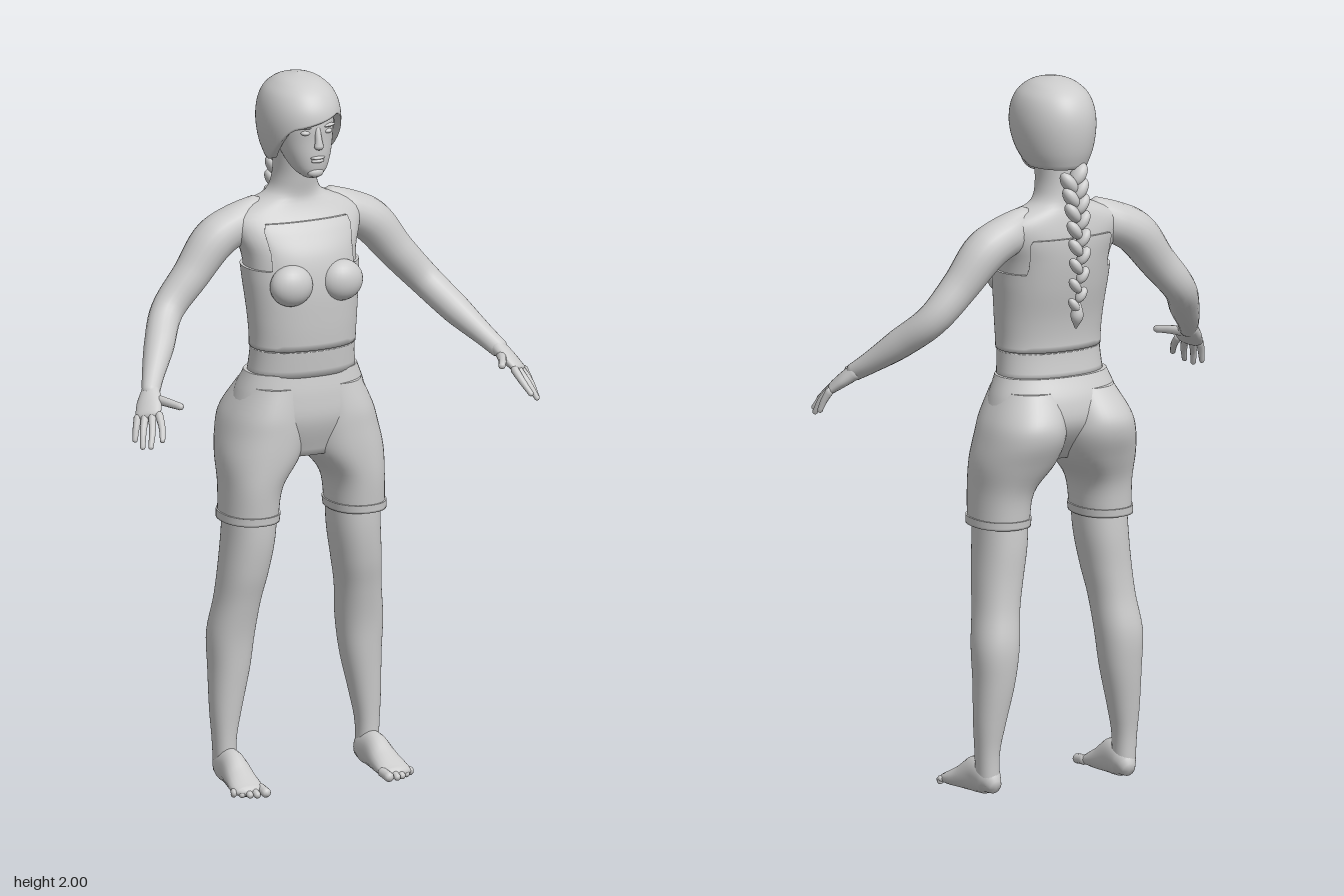
import * as THREE from 'three';
import { mergeVertices } from 'three/addons/utils/BufferGeometryUtils.js';

const clay = new THREE.MeshStandardMaterial({ color: 0xcccccc, side: THREE.DoubleSide });
clay.name = 'light grey';

const smooth = THREE.MathUtils.smoothstep;
const lerp = THREE.MathUtils.lerp;

// Smooth surface through a list of point rings
function skin(rings) {
  const pos = [], idx = [], n = rings[0].length;
  rings.forEach(r => r.forEach(p => pos.push(p.x, p.y, p.z)));
  for (let i = 0; i < rings.length - 1; i++)
    for (let j = 0; j < n - 1; j++) {
      const a = i * n + j, b = a + n;
      idx.push(a, a + 1, b + 1, a, b + 1, b);
    }
  let g = new THREE.BufferGeometry();
  g.setAttribute('position', new THREE.Float32BufferAttribute(pos, 3));
  g.setIndex(idx);
  g = mergeVertices(g, 1e-5);
  g.computeVertexNormals();
  return g;
}

function mesh(name, geo, parent) {
  const m = new THREE.Mesh(geo, clay);
  m.name = name;
  parent.add(m);
  return m;
}

// Cross-section at height y, from rows of [y, centreX, halfWidth, zFront, zBack]
function section(rows, y) {
  let i = 0;
  while (i < rows.length - 2 && y > rows[i + 1][0]) i++;
  const a = rows[i], b = rows[i + 1], h = b[0] - a[0];
  const t = THREE.MathUtils.clamp((y - a[0]) / h, 0, 1);
  const slope = (k, c) => {
    const p = rows[Math.max(k - 1, 0)], q = rows[Math.min(k + 1, rows.length - 1)];
    return (q[c] - p[c]) / (q[0] - p[0]) * h;
  };
  return [1, 2, 3, 4].map(c => {
    const m0 = slope(i, c), m1 = slope(i + 1, c), d = b[c] - a[c];
    return a[c] + t * m0 + t * t * (3 * d - 2 * m0 - m1) + t * t * t * (m0 + m1 - 2 * d);
  });
}

// Upright loft; lo and hi may vary with the angle (0 = front), the rims turn inward
function shell(rows, { lo, hi, d = 0, inset = 0.015, nu = 48, nv = 32, power = 0.9, side = 1 }) {
  const fn = f => (typeof f === 'function' ? f : () => f);
  const L = fn(lo ?? rows[0][0]), H = fn(hi ?? rows[rows.length - 1][0]), rings = [];
  const bend = s => Math.sign(s) * Math.abs(s) ** power;
  for (let i = -1; i <= nv + 1; i++) {
    const v = Math.sin(THREE.MathUtils.clamp(i / nv, 0, 1) * Math.PI / 2);
    const off = i < 0 || i > nv ? -inset : d;
    const ring = [];
    for (let j = 0; j <= nu; j++) {
      const a = -Math.PI + (j % nu) / nu * Math.PI * 2;
      const y = lerp(L(a), H(a), v);
      const [cx, w, zf, zb] = section(rows, y);
      ring.push(new THREE.Vector3(
        cx * side + Math.max(w + off, 0) * bend(Math.sin(a)), y,
        (zf + zb) / 2 + Math.max((zf - zb) / 2 + off, 0) * bend(Math.cos(a))));
    }
    rings.push(ring);
  }
  return skin(rings);
}

// Capped tube through [x, y, z, radiusAcross, radiusThick]
function limb(pts, side = 1, hint = [1, 0, 0], floor = -1, steps = 6, nu = 20) {
  const path = new THREE.CatmullRomCurve3(pts.map(p => new THREE.Vector3(p[0] * side, p[1], p[2])));
  const radii = new THREE.CatmullRomCurve3(pts.map(p => new THREE.Vector3(p[3], p[4] ?? p[3], 0)));
  const n = (pts.length - 1) * steps, rings = [];
  const h = new THREE.Vector3(hint[0] * side, hint[1], hint[2]);
  for (let i = 0; i <= n; i++) {
    const c = path.getPoint(i / n), t = path.getTangent(i / n), r = radii.getPoint(i / n);
    const s = h.clone().addScaledVector(t, -h.dot(t)).normalize();
    const q = new THREE.Vector3().crossVectors(t, s);
    const ring = (k, shift) => Array.from({ length: nu + 1 }, (_, j) => {
      const a = (j % nu) / nu * Math.PI * 2;
      const p = c.clone().addScaledVector(s, Math.cos(a) * r.x * k)
        .addScaledVector(q, Math.sin(a) * r.y * k).addScaledVector(t, shift);
      p.y = Math.max(p.y, floor);
      return p;
    });
    const round = Math.min(r.x, r.y);
    if (i === 0) rings.push(ring(0, -round * 0.8), ring(0.7, -round * 0.55));
    rings.push(ring(1, 0));
    if (i === n) rings.push(ring(0.7, round * 0.55), ring(0, round * 0.8));
  }
  return skin(rings);
}

function blob(name, parent, [x, y, z], [rx, ry, rz], tilt = 0) {
  const m = mesh(name, new THREE.SphereGeometry(1, 24, 16), parent);
  m.position.set(x, y, z);
  m.scale.set(rx, ry, rz);
  m.rotation.z = tilt;
}

const torsoRows = [
  [1.14, 0, 0.152, 0.04, -0.155], [1.24, 0, 0.144, 0.05, -0.143], [1.32, 0, 0.148, 0.055, -0.15],
  [1.42, 0, 0.157, 0.055, -0.172], [1.5, 0, 0.165, 0.04, -0.185], [1.56, 0, 0.188, 0.008, -0.188],
  [1.6, 0, 0.19, -0.02, -0.182], [1.63, 0, 0.145, -0.036, -0.175], [1.652, 0, 0.085, -0.042, -0.168],
  [1.7, 0, 0.06, -0.035, -0.162], [1.79, 0, 0.058, -0.02, -0.16]];
const headRows = [
  [1.724, 0, 0.022, 0.036, -0.02], [1.74, 0, 0.042, 0.047, -0.05], [1.78, 0, 0.062, 0.054, -0.1],
  [1.83, 0, 0.075, 0.055, -0.14], [1.88, 0, 0.08, 0.056, -0.16], [1.93, 0, 0.078, 0.045, -0.17]];
const hairRows = [
  [1.75, 0, 0.08, 0.03, -0.185], [1.8, 0, 0.1, 0.055, -0.203], [1.86, 0, 0.11, 0.068, -0.212],
  [1.91, 0, 0.107, 0.065, -0.208], [1.95, 0, 0.093, 0.044, -0.19], [1.975, 0, 0.07, 0.015, -0.163],
  [1.99, 0, 0.044, -0.02, -0.128], [2, 0, 0, -0.07, -0.075]];
const pelvisRows = [
  [0.93, 0, 0.12, 0.02, -0.12], [1.03, 0, 0.195, 0.055, -0.195],
  [1.1, 0, 0.188, 0.055, -0.195], [1.168, 0, 0.163, 0.045, -0.165]];
const shortLegRows = [
  [0.755, 0.162, 0.077, 0.045, -0.152], [0.85, 0.154, 0.083, 0.055, -0.165],
  [0.93, 0.126, 0.112, 0.06, -0.2], [1.0, 0.111, 0.114, 0.06, -0.23],
  [1.05, 0.105, 0.105, 0.058, -0.23], [1.13, 0.085, 0.085, 0.045, -0.18]];
const legRows = [
  [0.03, 0.215, 0.03, -0.05, -0.125], [0.12, 0.217, 0.032, -0.05, -0.128], [0.2, 0.212, 0.042, -0.045, -0.14],
  [0.32, 0.2, 0.056, -0.035, -0.158], [0.42, 0.195, 0.064, -0.025, -0.165], [0.52, 0.183, 0.062, -0.005, -0.15],
  [0.6, 0.172, 0.066, 0.015, -0.145], [0.7, 0.16, 0.07, 0.03, -0.145], [0.82, 0.155, 0.07, 0.035, -0.14]];

export function createModel() {
  const root = new THREE.Group();
  root.name = 'standingWoman';

  // Torso, fitted top with raised front and back panels, belt
  mesh('torso', shell(torsoRows, { nv: 60 }), root);
  const panelTop = a => {
    const b = Math.abs(a);
    return 1.465 + 0.125 * (1 - smooth(b, 0.64, 0.8)) + 0.1 * smooth(b, 2.3, 2.5);
  };
  mesh('top', shell(torsoRows, { lo: 1.238, hi: panelTop, d: 0.008, nu: 120 }), root);
  mesh('belt', shell(torsoRows, { lo: 1.16, hi: 1.235, d: 0.005, nv: 6 }), root);

  // Head, hair cap with a slanted fringe, face
  mesh('head', shell(headRows, { inset: 0.1 }), root);
  const hem = a => lerp(1.885 + 0.03 * Math.sin(a), 1.757, smooth(Math.abs(a), 0.55, 1.7));
  mesh('hair', shell(hairRows, { lo: hem, inset: 0.02, nu: 72, power: 0.95 }), root);
  mesh('nose', limb([[0, 1.868, 0.05, 0.008], [0, 1.835, 0.059, 0.01], [0, 1.817, 0.062, 0.014, 0.011]]), root);
  blob('upperLip', root, [0, 1.785, 0.053], [0.022, 0.005, 0.009]);
  blob('lowerLip', root, [0, 1.776, 0.052], [0.019, 0.006, 0.009]);
  blob('chin', root, [0, 1.741, 0.038], [0.024, 0.015, 0.015]);

  // Braid of alternating strands with a loose tail
  const braid = new THREE.Group();
  braid.name = 'braid';
  root.add(braid);
  const spine = new THREE.CatmullRomCurve3([[1.74, -0.185], [1.64, -0.208], [1.52, -0.222], [1.38, -0.208]]
    .map(([y, z]) => new THREE.Vector3(0, y, z)));
  for (let i = 0; i < 16; i++) {
    const p = spine.getPoint(i / 15), s = i % 2 ? 1 : -1, k = 1 - 0.025 * i;
    blob('strand', braid, [s * 0.016 * k, p.y, p.z], [0.02 * k, 0.037 * k, 0.026 * k], -s * 0.6);
  }
  mesh('braidTail', limb([[0, 1.38, -0.207, 0.012], [0, 1.35, -0.206, 0.018], [0, 1.315, -0.2, 0.004]]), braid);

  mesh('shortsWaist', shell(pelvisRows, { nv: 20 }), root);

  for (const side of [1, -1]) {
    const name = side > 0 ? 'left' : 'right';
    const half = new THREE.Group();
    half.name = name + 'Side';
    root.add(half);

    blob('bust', half, [side * 0.076, 1.427, 0.045], [0.062, 0.058, 0.046]);
    blob('eye', half, [side * 0.033, 1.857, 0.045], [0.014, 0.007, 0.011]);
    blob('brow', half, [side * 0.034, 1.873, 0.046], [0.022, 0.005, 0.011], side * 0.1);

    // Arm and hand
    mesh('arm', limb([
      [0.1, 1.6, -0.11, 0.035, 0.055], [0.17, 1.575, -0.112, 0.058, 0.058], [0.235, 1.54, -0.112, 0.062, 0.06],
      [0.31, 1.45, -0.105, 0.052, 0.052], [0.39, 1.36, -0.09, 0.045, 0.046], [0.45, 1.285, -0.015, 0.042, 0.042],
      [0.505, 1.22, 0.06, 0.03, 0.03], [0.53, 1.19, 0.1, 0.023, 0.026]], side, [0, 0, 1]), half);
    mesh('palm', limb([
      [0.525, 1.197, 0.09, 0.025, 0.022], [0.546, 1.168, 0.125, 0.037, 0.019],
      [0.564, 1.142, 0.155, 0.038, 0.014]], side, [0.04, -0.01, -0.045]), half);
    const fingers = [
      [[0.54, 1.148, 0.175], [0.548, 1.12, 0.212], [0.56, 1.092, 0.24]],
      [[0.556, 1.143, 0.165], [0.572, 1.108, 0.2], [0.587, 1.072, 0.222]],
      [[0.572, 1.138, 0.152], [0.589, 1.104, 0.177], [0.599, 1.066, 0.195]],
      [[0.586, 1.136, 0.136], [0.597, 1.108, 0.148], [0.605, 1.078, 0.158]],
      [[0.528, 1.178, 0.11], [0.508, 1.176, 0.165], [0.488, 1.172, 0.205]]];
    fingers.forEach((f, i) => mesh(i < 4 ? 'finger' : 'thumb',
      limb(f.map((p, k) => [...p, (i < 4 ? 0.0115 : 0.014) - 0.002 * k]), side, [1, 0, 0], -1, 4, 10), half));

    // Shorts leg with a rolled hem
    mesh('shortsLeg', shell(shortLegRows, { side }), half);
    mesh('shortsHem', shell(shortLegRows, { lo: 0.752, hi: 0.775, d: 0.004, nv: 6, side }), half);

    // Leg, foot and toes
    mesh('leg', shell(legRows, { nv: 48, side }), half);
    mesh('foot', limb([
      [0.212, 0.034, -0.112, 0.026, 0.03], [0.214, 0.045, -0.09, 0.035, 0.046], [0.216, 0.05, -0.04, 0.036, 0.052],
      [0.219, 0.032, 0.02, 0.043, 0.036], [0.223, 0.02, 0.07, 0.047, 0.022],
      [0.223, 0.016, 0.092, 0.042, 0.016]], side, [1, 0, 0], 0), half);
    for (let i = 0; i < 5; i++) {
      const r = i ? 0.0105 - 0.0005 * i : 0.014;
      const x = i ? 0.193 + 0.0185 * i : 0.186, tip = 0.118 - 0.004 * i * i * 0.6;
      mesh('toe', limb([[x, 0.018, 0.075, r], [x + 0.001, 0.016, 0.1 - 0.004 * i, r],
        [x + 0.001, r, tip, r]], side, [1, 0, 0], 0, 4, 10), half);
    }
  }
  return root;
}
